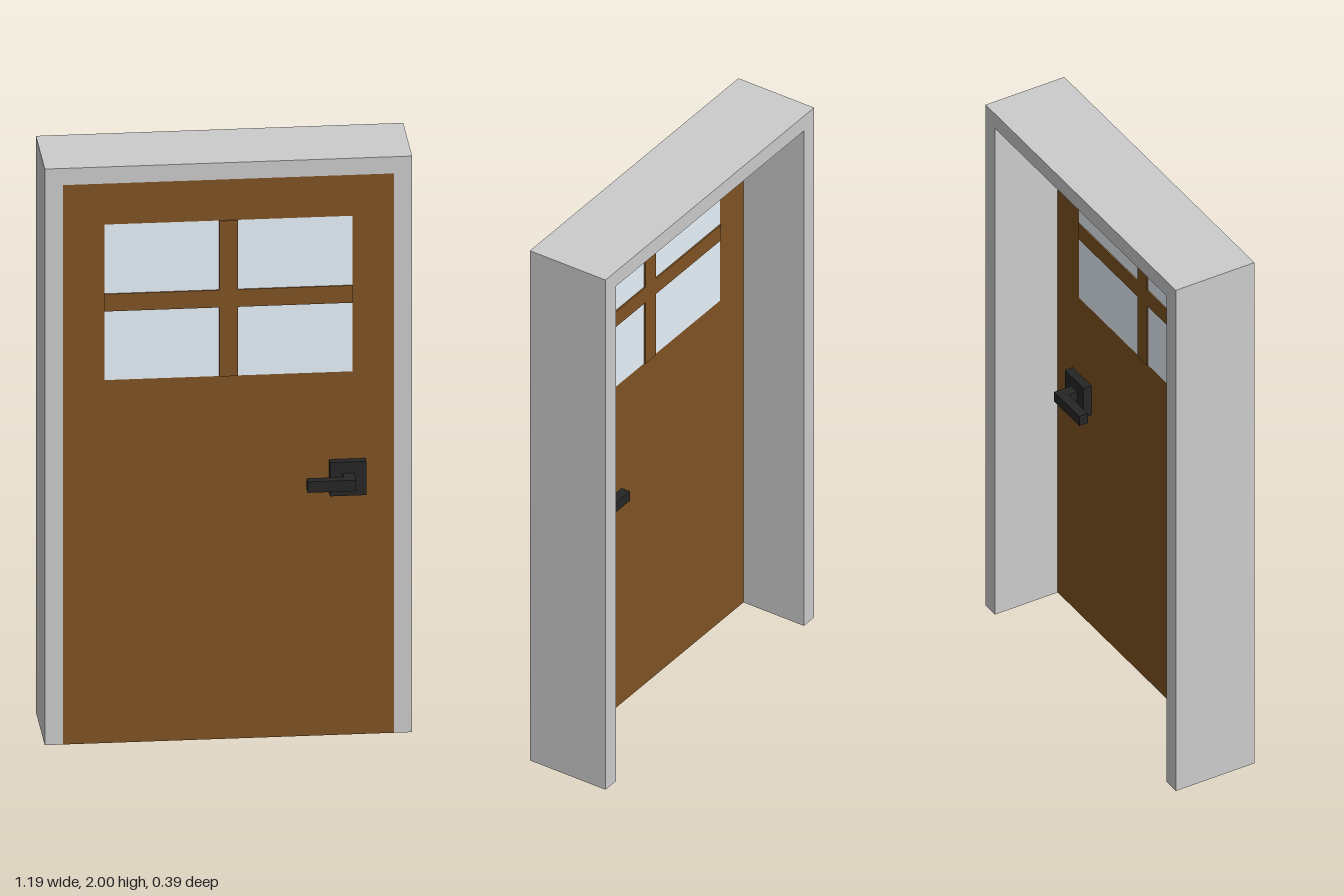
import * as THREE from 'three';

const FRONT = 0.102, BACK = -0.195;   // frame depth limits
const DOOR_BACK = 0.042;              // inner face of the door leaf
const DOOR_MID = (FRONT + DOOR_BACK) / 2;
const WIN = { x: 0.403, y0: 1.26, y1: 1.8 };
const BAR = 0.06;

const material = (color) => new THREE.MeshStandardMaterial({ color });

// Box given by its limits on each axis
function box(name, mat, [x0, x1], [y0, y1], [z0, z1]) {
  const mesh = new THREE.Mesh(new THREE.BoxGeometry(x1 - x0, y1 - y0, z1 - z0), mat);
  mesh.position.set((x0 + x1) / 2, (y0 + y1) / 2, (z0 + z1) / 2);
  mesh.name = name;
  return mesh;
}

// Flat outline extruded along z
function slab(name, mat, shape, z0, z1) {
  const mesh = new THREE.Mesh(
    new THREE.ExtrudeGeometry(shape, { depth: z1 - z0, bevelEnabled: false }), mat);
  mesh.position.z = z0;
  mesh.name = name;
  return mesh;
}

const outline = (points) => new THREE.Shape(points.map(([x, y]) => new THREE.Vector2(x, y)));
const rect = (x, y0, y1) => [[-x, y0], [x, y0], [x, y1], [-x, y1]];

// Lever handle on the door face; side = 1 for front, -1 for back
function handle(name, mat, side) {
  const group = new THREE.Group();
  group.name = name;
  const face = side > 0 ? FRONT : DOOR_BACK;
  const depth = (a, b) => (side > 0 ? [face + a, face + b] : [face - b, face - a]);
  group.add(
    box('handlePlate', mat, [0.327, 0.445], [0.84, 0.957], depth(0, 0.029)),
    box('handleStem', mat, [0.368, 0.406], [0.88, 0.918], depth(0.029, 0.061)),
    box('handleLever', mat, [0.248, 0.406], [0.88, 0.918], depth(0.061, 0.093)));
  return group;
}

export function createModel() {
  const model = new THREE.Group();
  model.name = 'door';
  const grey = material(0xcccccc);
  const wood = material(0x7f5323);
  const glass = material(0xe8f2fb);
  const black = material(0x262626);

  // Frame: two jambs and a head, open at the floor
  const W = 0.597, I = 0.538, H = 1.942;
  model.add(slab('frame', grey, outline([
    [-W, 0], [-I, 0], [-I, H], [I, H], [I, 0], [W, 0], [W, 2], [-W, 2],
  ]), BACK, FRONT));

  // Door leaf with the window opening
  const leaf = outline(rect(I, 0, H));
  leaf.holes.push(outline(rect(WIN.x, WIN.y0, WIN.y1)));
  model.add(slab('doorLeaf', wood, leaf, DOOR_BACK, FRONT));

  // Glazing bars, slightly proud of both faces
  const barZ = [DOOR_BACK - 0.005, FRONT + 0.005];
  const midY = (WIN.y0 + WIN.y1) / 2;
  model.add(box('verticalBar', wood, [-BAR / 2, BAR / 2], [WIN.y0, WIN.y1], barZ));

  // Half bars and panes on each side of the vertical bar
  for (const s of [-1, 1]) {
    const xs = s > 0 ? [BAR / 2, WIN.x] : [-WIN.x, -BAR / 2];
    model.add(box('horizontalBar', wood, xs, [midY - BAR / 2, midY + BAR / 2], barZ));
    for (const ys of [[WIN.y0, midY - BAR / 2], [midY + BAR / 2, WIN.y1]]) {
      model.add(box('windowPane', glass, xs, ys, [DOOR_BACK, FRONT]));
    }
  }

  model.add(handle('frontHandle', black, 1), handle('backHandle', black, -1));
  return model;
}
